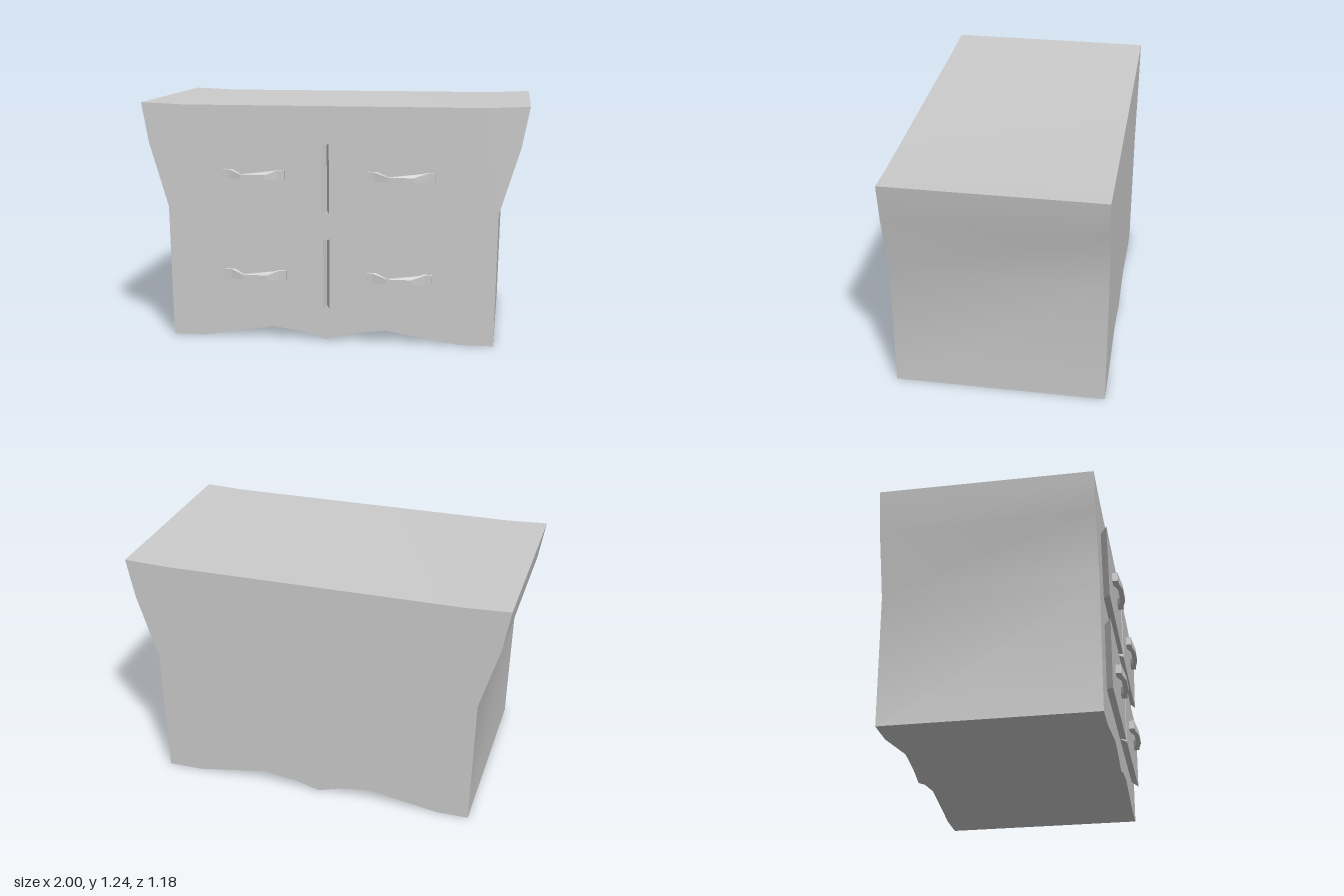
import * as THREE from 'three';
import { toCreasedNormals } from 'three/addons/utils/BufferGeometryUtils.js';

const BODY_FRONT = 0.51, BODY_BACK = -0.59, DRAWER_FRONT = 0.545;
const material = new THREE.MeshStandardMaterial({ color: 0xcccccc });

const shapeOf = (points) => new THREE.Shape(points.map(([x, y]) => new THREE.Vector2(x, y)));

function addMesh(parent, name, geometry) {
  const mesh = new THREE.Mesh(geometry, material);
  mesh.name = name;
  parent.add(mesh);
  return mesh;
}

// Flared cabinet with a wavy underside, extruded front to back
function bodyGeometry() {
  const outline = [
    [-0.85, 0], [-0.68, 0], [-0.31, 0.062], [-0.15, 0.038], [-0.03, 0.002],
    [0.1, 0.038], [0.28, 0.062], [0.66, 0], [0.84, 0],
    [0.855, 0.69], [0.96, 1.03], [1, 1.235],
    [0.78, 1.226], [-0.78, 1.226], [-1, 1.235], [-0.965, 1.03], [-0.865, 0.69],
  ];
  const geometry = new THREE.ExtrudeGeometry(shapeOf(outline), {
    depth: BODY_FRONT - BODY_BACK, bevelEnabled: false,
  });
  geometry.translate(0, 0, BODY_BACK);
  return toCreasedNormals(geometry, 0.5);
}

// Drawer front: a slab whose edges taper in towards the cabinet
function drawerGeometry({ inner, outerTop, outerBottom, top, bottom }) {
  const geometry = new THREE.BoxGeometry(1, 1, 1).toNonIndexed();
  const pos = geometry.attributes.position;
  const side = Math.sign(outerTop);
  for (let i = 0; i < pos.count; i++) {
    const upper = pos.getY(i) > 0, front = pos.getZ(i) > 0;
    const isOuter = pos.getX(i) * side > 0;
    const outer = (upper ? outerTop : outerBottom) - (front ? 0 : side * 0.055);
    const x = isOuter ? outer : (front ? inner : -0.025);
    const inset = front ? 0 : 0.012;
    pos.setXYZ(i, x, upper ? top - inset : bottom + inset, front ? DRAWER_FRONT : BODY_FRONT - 0.002);
  }
  geometry.computeVertexNormals();
  return geometry;
}

// Bowed bar handle: arched in plan, with its top edge dipping in the middle
function handleGeometry(width) {
  const h = width / 2;
  const plan = [
    [-h, -0.002], [-h + 0.04, -0.002], [-0.065, 0.02], [0.065, 0.02], [h - 0.04, -0.002], [h, -0.002],
    [h, 0.029], [h - 0.035, 0.031], [0.065, 0.045], [-0.065, 0.045], [-h + 0.035, 0.031], [-h, 0.029],
  ];
  const height = 0.048;
  const geometry = new THREE.ExtrudeGeometry(shapeOf(plan), { depth: height, bevelEnabled: false });
  geometry.rotateX(Math.PI / 2);
  geometry.translate(0, height, 0);
  const pos = geometry.attributes.position;
  for (let i = 0; i < pos.count; i++) {
    if (pos.getY(i) > height / 2 && Math.abs(pos.getX(i)) < 0.07) pos.setY(i, height - 0.024);
  }
  geometry.computeVertexNormals();
  return geometry;
}

export function createModel() {
  const model = new THREE.Group();
  model.name = 'chestOfDrawers';
  addMesh(model, 'body', bodyGeometry());

  // Four drawers, each with its handle span and handle base height
  const drawers = [
    { name: 'upperRight', inner: -0.045, outerTop: -0.79, outerBottom: -0.73, top: 1.04, bottom: 0.678, handle: [-0.555, -0.235, 0.853] },
    { name: 'upperLeft', inner: -0.008, outerTop: 0.775, outerBottom: 0.71, top: 1.04, bottom: 0.678, handle: [0.195, 0.535, 0.853] },
    { name: 'lowerRight', inner: -0.038, outerTop: -0.737, outerBottom: -0.727, top: 0.544, bottom: 0.175, handle: [-0.55, -0.23, 0.329] },
    { name: 'lowerLeft', inner: -0.005, outerTop: 0.73, outerBottom: 0.72, top: 0.544, bottom: 0.175, handle: [0.19, 0.525, 0.329] },
  ];
  for (const d of drawers) {
    const group = new THREE.Group();
    group.name = d.name + 'Drawer';
    model.add(group);
    addMesh(group, 'drawerFront', drawerGeometry(d));
    const [x0, x1, y] = d.handle;
    addMesh(group, 'handle', handleGeometry(x1 - x0)).position.set((x0 + x1) / 2, y, DRAWER_FRONT);
  }
  return model;
}
